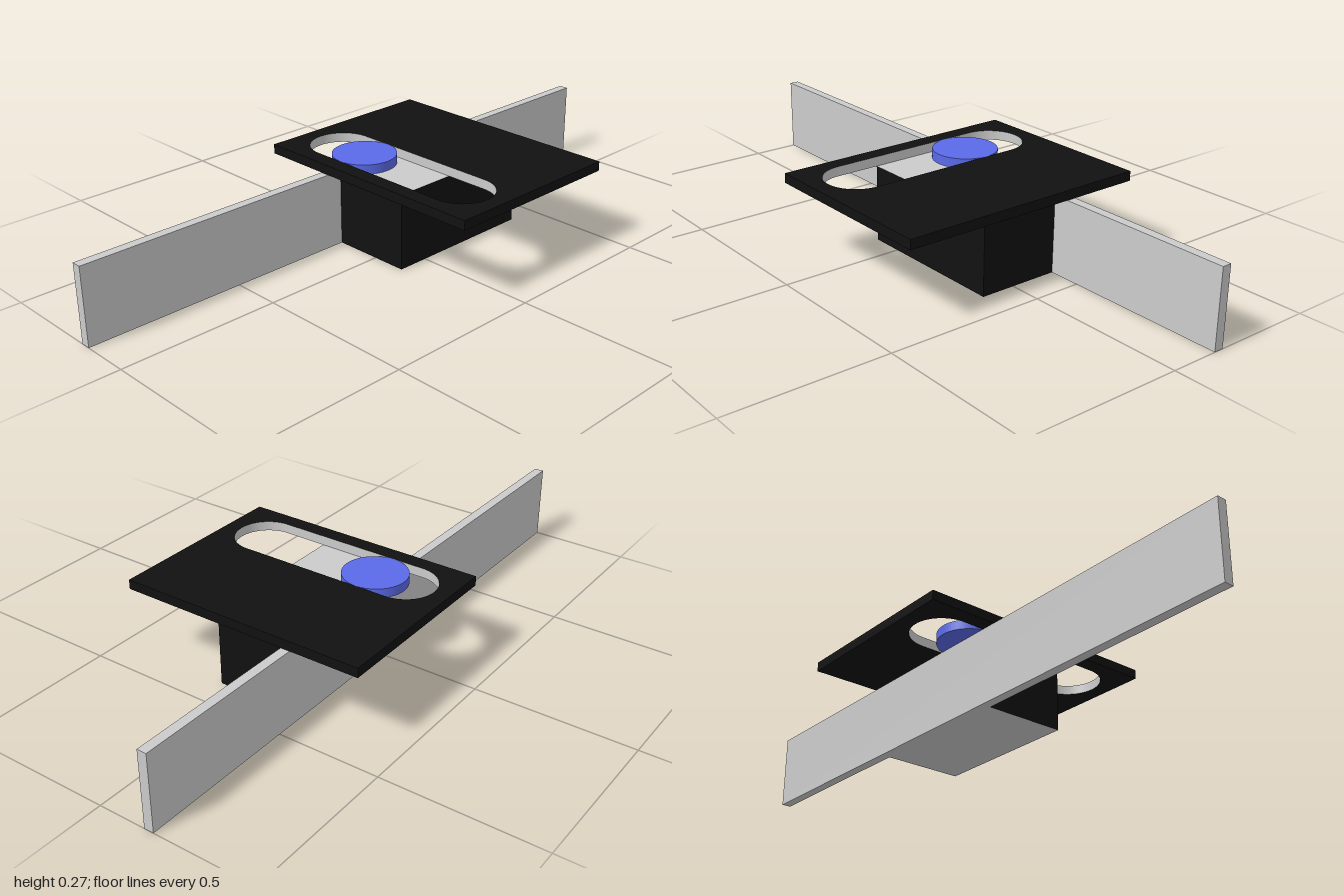
import * as THREE from 'three';

export function createModel() {
  const model = new THREE.Group();
  const grey = new THREE.MeshStandardMaterial({ color: 0xcccccc });
  const black = new THREE.MeshStandardMaterial({ color: 0x111111 });
  const blue = new THREE.MeshStandardMaterial({ color: 0x5a6ae8 });

  const add = (name, geometry, material, x = 0, y = 0, z = 0) => {
    const mesh = new THREE.Mesh(geometry, material);
    mesh.name = name;
    mesh.position.set(x, y, z);
    model.add(mesh);
  };

  const height = 0.24; // top of the wall and block
  const thick = 0.03; // thickness of plate, disc and wall

  // Long thin wall running front to back
  add('wall', new THREE.BoxGeometry(thick, height, 2), grey, -0.165, height / 2, 0);

  // Block beside the wall: black sides, grey top and bottom
  add('block', new THREE.BoxGeometry(0.26, height, 0.5),
    [black, black, grey, grey, black, black], -0.02, height / 2, -0.15);

  // Top plate with a rounded slot
  const outline = new THREE.Shape([[-0.4, -0.15], [0.4, -0.15], [0.4, 0.45], [-0.4, 0.45]]
    .map(([x, y]) => new THREE.Vector2(x, y)));
  const slot = new THREE.Path();
  slot.absarc(0.25, 0, 0.1, -Math.PI / 2, Math.PI / 2);
  slot.absarc(-0.25, 0, 0.1, Math.PI / 2, Math.PI * 1.5);
  slot.closePath();
  outline.holes.push(slot);
  const plate = new THREE.ExtrudeGeometry(outline, { depth: thick, bevelEnabled: false, curveSegments: 32 });
  plate.rotateX(-Math.PI / 2);
  // Faces and four outer edges are black, the slot lining is grey
  const outer = plate.groups[1].start + 4 * 6;
  const total = plate.attributes.position.count;
  plate.clearGroups();
  plate.addGroup(0, outer, 0);
  plate.addGroup(outer, total - outer, 1);
  add('slottedPlate', plate, [black, grey], 0, height, 0);

  // Round slider sitting in the slot
  add('sliderDisc', new THREE.CylinderGeometry(0.1, 0.1, thick, 64), blue, -0.15, height + thick / 2, 0);

  return model;
}
